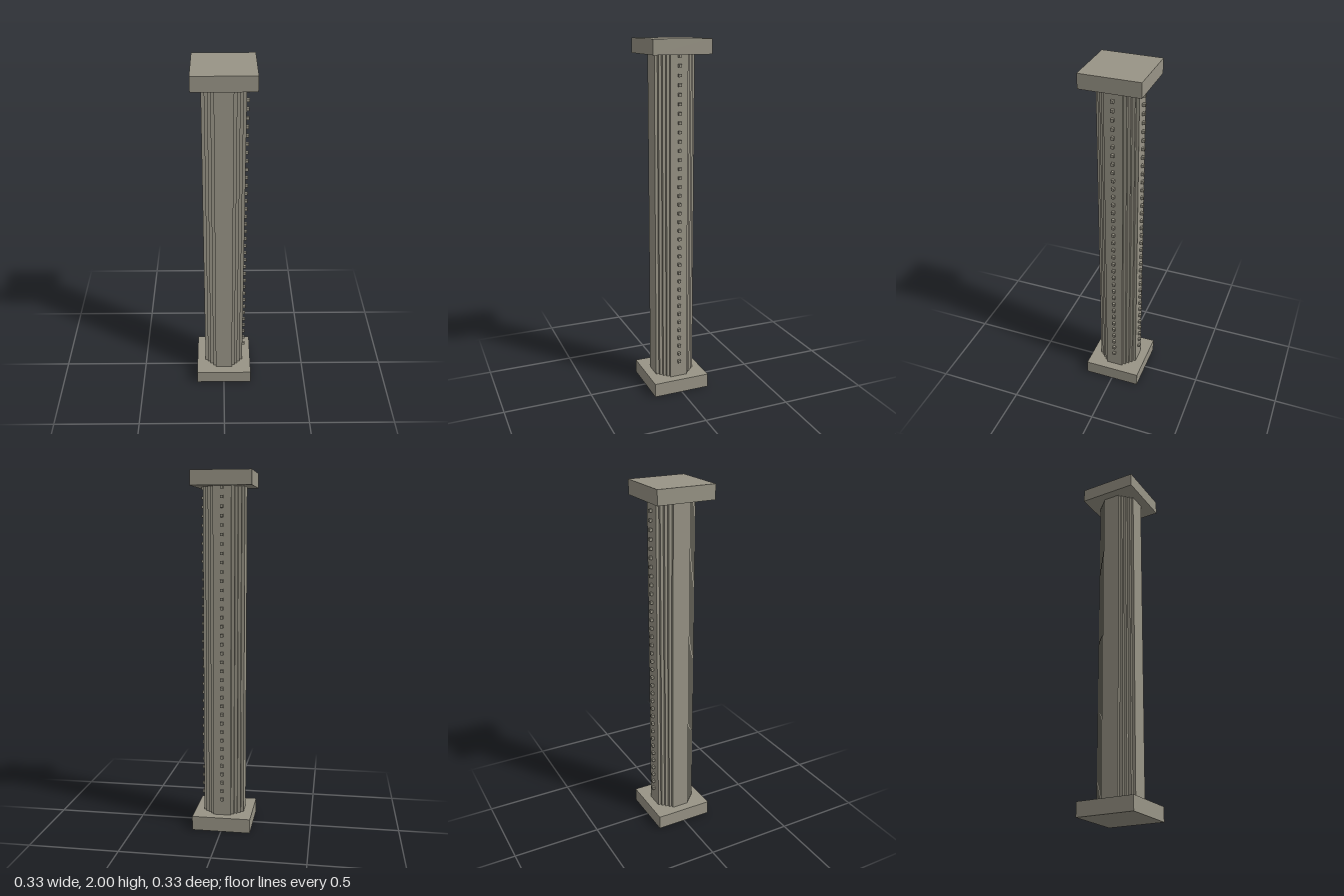
import * as THREE from 'three';

const stone = new THREE.MeshStandardMaterial({ color: 0x989486 });
stone.name = 'weathered stone';

const HALF = 0.165, SLAB = 0.08;      // square end slabs
const OUTER = 0.115, INNER = 0.05;    // shaft faces and where the corners begin
const STEPS = 4;                      // small steps cut into each corner
const STUDS = 36, STUD = 0.016;

// Square outline whose corners descend in small right-angled steps
function shaftOutline() {
  const size = (OUTER - INNER) / STEPS;
  const corner = [];
  for (let i = 0; i <= STEPS; i++) {
    const x = OUTER - i * size, y = INNER + i * size;
    corner.push(new THREE.Vector2(x, y));
    if (i < STEPS) corner.push(new THREE.Vector2(x - size, y));
  }
  const points = [];
  for (let q = 0; q < 4; q++) {
    for (const p of corner) {
      points.push(p.clone().rotateAround(new THREE.Vector2(), q * Math.PI / 2));
    }
  }
  return new THREE.Shape(points);
}

function addMesh(parent, name, geometry, x, y, z) {
  const mesh = new THREE.Mesh(geometry, stone);
  mesh.name = name;
  mesh.position.set(x, y, z);
  parent.add(mesh);
  return mesh;
}

export function createModel() {
  const model = new THREE.Group();
  model.name = 'column';

  // End slabs
  const slab = new THREE.BoxGeometry(HALF * 2, SLAB, HALF * 2);
  addMesh(model, 'base', slab, 0, SLAB / 2, 0);
  addMesh(model, 'capital', slab, 0, 2 - SLAB / 2, 0);

  // Shaft
  const shaft = new THREE.ExtrudeGeometry(shaftOutline(), {
    depth: 2 - SLAB * 2, bevelEnabled: false,
  });
  shaft.rotateX(-Math.PI / 2);
  addMesh(model, 'shaft', shaft, 0, SLAB, 0);

  // Stud rows on the left and back faces
  const stud = new THREE.BoxGeometry(STUD, STUD, STUD);
  const leftStuds = new THREE.Group();
  leftStuds.name = 'leftStuds';
  const backStuds = new THREE.Group();
  backStuds.name = 'backStuds';
  const out = OUTER + STUD / 2;
  for (let i = 0; i < STUDS; i++) {
    const y = 0.175 + i * (1.912 - 0.175) / (STUDS - 1);
    addMesh(leftStuds, 'stud', stud, out, y, 0);
    addMesh(backStuds, 'stud', stud, 0, y, -out);
  }
  model.add(leftStuds, backStuds);

  return model;
}
